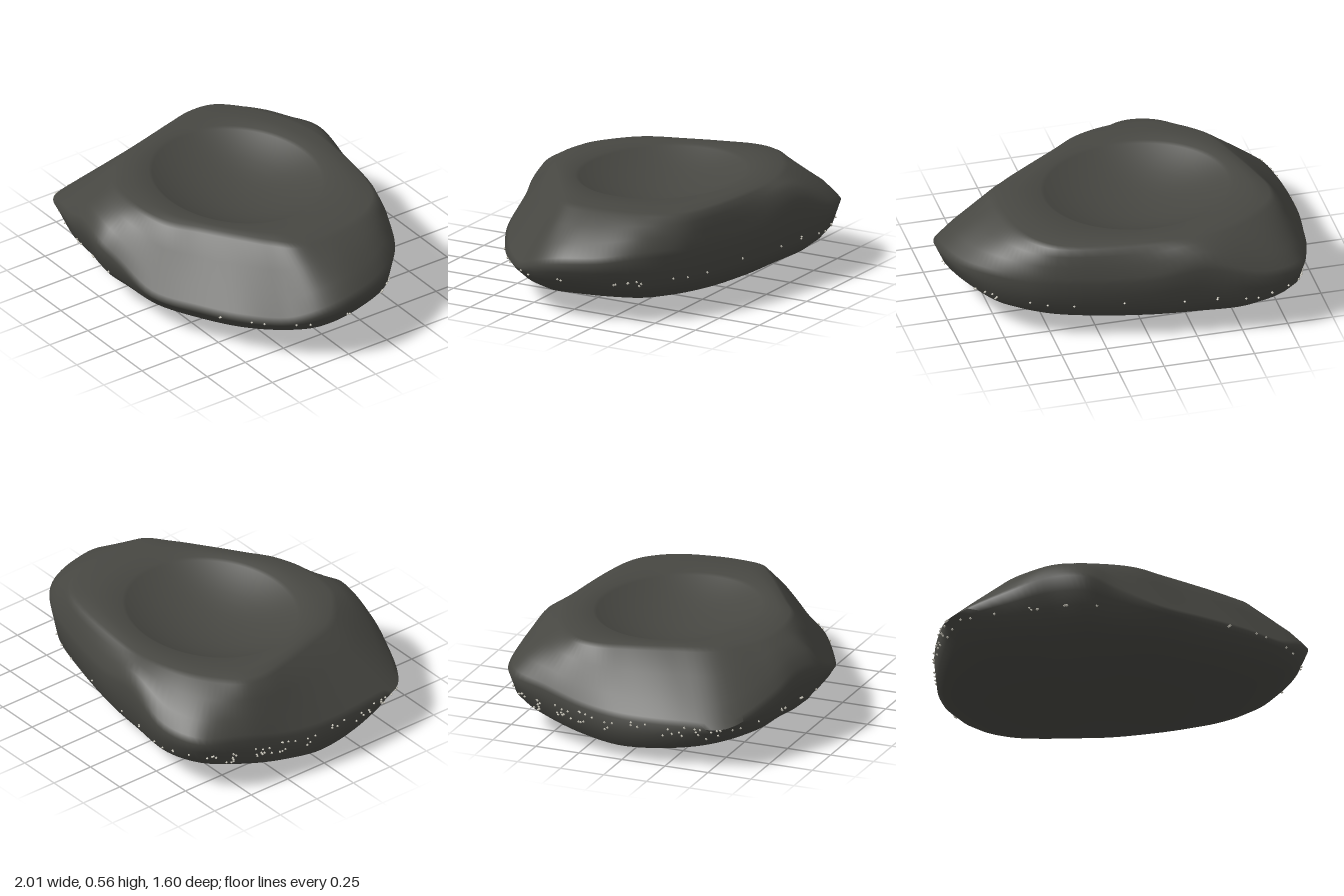
import * as THREE from 'three';
import { mergeGeometries, toCreasedNormals } from 'three/addons/utils/BufferGeometryUtils.js';

const SEGMENTS = 138;
const TOP = 0.555;

// Stations around the stone: rim x, rim z, rim height, lower edge height, plateau x, plateau z
const STATIONS = [
  [1, -.02, .32, .22, .68, -.05], [.97, .14, .28, .2, .66, .1],
  [.86, .29, .22, .18, .55, .2], [.68, .46, .21, .17, .38, .32],
  [.46, .6, .21, .17, .22, .43], [.2, .73, .22, .18, .08, .53],
  [-.05, .77, .31, .2, -.05, .57], [-.2, .8, .37, .22, -.2, .58],
  [-.4, .76, .38, .22, -.36, .56], [-.6, .72, .32, .2, -.46, .5],
  [-.92, .57, .23, .19, -.6, .36], [-.98, .35, .23, .13, -.68, .14],
  [-1, 0, .23, .08, -.75, -.08], [-.97, -.25, .25, .1, -.79, -.24],
  [-.92, -.5, .3, .15, -.77, -.36], [-.83, -.72, .32, .2, -.66, -.47],
  [-.62, -.8, .34, .2, -.5, -.57], [-.3, -.77, .42, .2, -.26, -.64],
  [0, -.73, .37, .2, 0, -.64], [.5, -.61, .36, .2, .46, -.56],
  [.66, -.54, .36, .2, .58, -.46], [.82, -.42, .36, .2, .64, -.34],
  [.94, -.25, .34, .22, .67, -.2],
];

const loop = (pick) => new THREE.CatmullRomCurve3(
  STATIONS.map((s) => new THREE.Vector3(...pick(s))), true, 'centripetal');
const rimLoop = loop((s) => [s[0], s[2], s[1]]);
// The higher the lower edge sits, the further it is tucked in
const lowLoop = loop((s) => [s[0] * (1 - .2 * s[3]), s[3], s[1] * (1 - .2 * s[3])]);
const plateauLoop = loop((s) => [s[4], TOP, s[5]]);

// Point on an ellipse lying in the same direction as p
function onEllipse(p, cx, cz, rx, rz, y, r = 1) {
  const a = Math.atan2((p.z - cz) / rz, (p.x - cx) / rx);
  return new THREE.Vector3(cx + r * rx * Math.cos(a), y, cz + r * rz * Math.sin(a));
}

// One profile from the middle of the hollow, over the rim, to the middle of the base
function profile(t) {
  const rim = rimLoop.getPoint(t);
  const low = lowLoop.getPoint(t);
  const edge = plateauLoop.getPoint(t);

  // Shallow bowl
  const points = [0, .15, .3, .45, .6, .72, .82, .9, .96, 1].map(
    (r) => onEllipse(edge, -.1, -.05, .52, .45, TOP - .13 * (1 - r * r), r));
  const lip = points[points.length - 1];

  // Plateau and sloping shoulder, fuller where the rim is high
  points.push(lip.clone().lerp(edge, .5), lip.clone().lerp(edge, .92));
  const bulge = Math.max(0, rim.y - .22) * .45;
  for (const k of [.06, .35, .7, .92]) {
    const p = edge.clone().lerp(rim, k);
    p.y += bulge * Math.sin(Math.PI * k) * k;
    points.push(p);
  }

  // Wall below the rim, curved underside and flat base
  const base = onEllipse(low, -.15, -.03, .5, .39, 0);
  points.push(rim, rim.clone().lerp(low, .5), low);
  for (const [k, h] of [[.9, .74], [.75, .5], [.55, .32], [.3, .14]]) {
    const p = base.clone().lerp(low, k);
    p.y = low.y * h;
    points.push(p);
  }
  points.push(base, new THREE.Vector3(-.15, 0, -.03));
  return points;
}

function stoneGeometry() {
  const positions = [];
  const index = [];
  let rows = 0;
  for (let j = 0; j < SEGMENTS; j++) {
    const points = profile(j / SEGMENTS);
    rows = points.length;
    points.forEach((p) => positions.push(p.x, p.y, p.z));
  }
  for (let j = 0; j < SEGMENTS; j++) {
    const here = j * rows;
    const next = ((j + 1) % SEGMENTS) * rows;
    for (let i = 0; i < rows - 1; i++) {
      if (i > 0) index.push(here + i, next + i, here + i + 1);
      if (i < rows - 2) index.push(next + i, next + i + 1, here + i + 1);
    }
  }
  const geometry = new THREE.BufferGeometry();
  geometry.setAttribute('position', new THREE.Float32BufferAttribute(positions, 3));
  geometry.setIndex(index);
  return toCreasedNormals(geometry, 1.4);
}

// Tiny pale grains along the lower edge, denser on the right-hand side of the stone
function grainGeometry() {
  let seed = 7;
  const random = () => (seed = (seed * 16807) % 2147483647) / 2147483647;
  const grains = [];
  for (let i = 0; i < 90; i++) {
    const t = i < 45 ? random() : .44 + .2 * random();
    const rim = rimLoop.getPoint(t);
    const low = lowLoop.getPoint(t);
    const height = (i < 45 ? .2 : .15) + (i < 45 ? .03 : .08) * random();
    const k = THREE.MathUtils.clamp((height - low.y) / (rim.y - low.y), 0, 1);
    const p = low.lerp(rim, k);
    grains.push(new THREE.OctahedronGeometry(.008).translate(p.x * 1.005, p.y, p.z * 1.005));
  }
  return mergeGeometries(grains);
}

export function createModel() {
  const model = new THREE.Group();
  model.name = 'hollowedStone';
  const stoneMaterial = new THREE.MeshStandardMaterial({ color: 0x474742 });
  stoneMaterial.name = 'darkStone';
  const grainMaterial = new THREE.MeshStandardMaterial({ color: 0xc9c6ba });
  grainMaterial.name = 'paleGrain';

  const stone = new THREE.Mesh(stoneGeometry(), stoneMaterial);
  stone.name = 'stoneBody';
  const grains = new THREE.Mesh(grainGeometry(), grainMaterial);
  grains.name = 'edgeGrains';
  model.add(stone, grains);
  return model;
}
